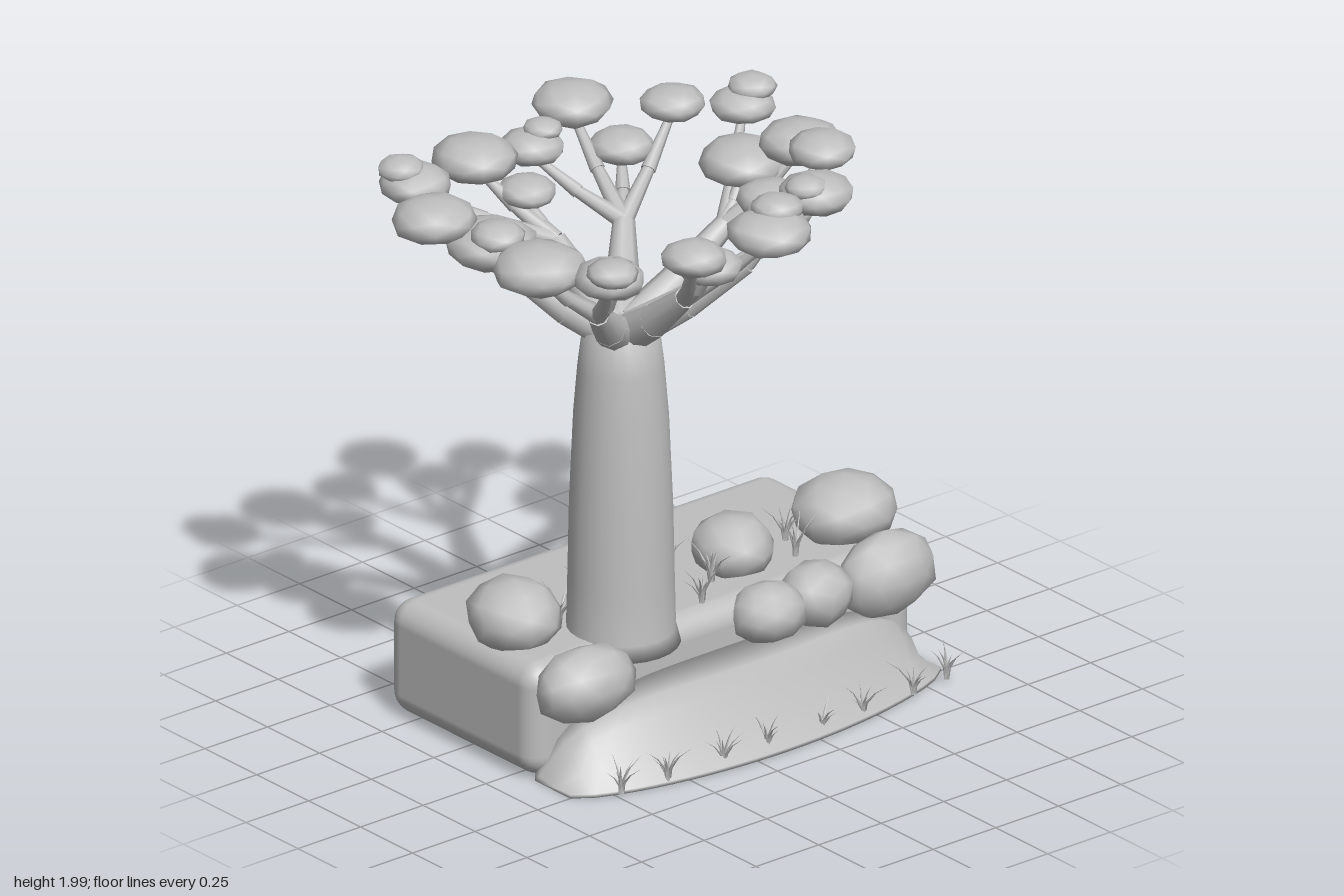
import * as THREE from 'three';
import { mergeVertices, mergeGeometries } from 'three/addons/utils/BufferGeometryUtils.js';
import { RoundedBoxGeometry } from 'three/addons/geometries/RoundedBoxGeometry.js';

const V = (x, y, z) => new THREE.Vector3(x, y, z);

export function createModel() {
  const group = new THREE.Group();
  const clay = new THREE.MeshStandardMaterial({ color: 0xbfbfbf });
  clay.name = 'grey clay';
  clay.side = THREE.DoubleSide;

  let seed = 7;
  const rand = () => (seed = (seed * 16807) % 2147483647) / 2147483647;
  const add = (name, geometry, x = 0, y = 0, z = 0) => {
    const mesh = new THREE.Mesh(geometry, clay);
    mesh.name = name;
    mesh.position.set(x, y, z);
    group.add(mesh);
    return mesh;
  };

  // Irregular smooth lump, used for stones and leaf clusters
  const lump = (name, x, y, z, rx, ry, rz, rough) => {
    let g = new THREE.IcosahedronGeometry(1, 1);
    g.deleteAttribute('normal');
    g.deleteAttribute('uv');
    g = mergeVertices(g, 1e-3);
    g.rotateY(rand() * 6);
    const p = g.attributes.position;
    for (let i = 0; i < p.count; i++) {
      const k = 1.03 + (rand() - 0.5) * rough;
      p.setXYZ(i, p.getX(i) * k * rx, p.getY(i) * k * ry, p.getZ(i) * k * rz);
    }
    g.computeVertexNormals();
    return add(name, g, x, y, z);
  };

  // Tapered limb running from a to b
  const limb = (name, a, b, ra, rb) => {
    const mesh = add(name, new THREE.CylinderGeometry(rb, ra, a.distanceTo(b), 8));
    mesh.position.copy(a).lerp(b, 0.5);
    mesh.quaternion.setFromUnitVectors(V(0, 1, 0), b.clone().sub(a).normalize());
  };

  // Tuft of bent blades
  const tuft = (x, y, z, size, count) => {
    const blades = [];
    for (let i = 0; i < count; i++) {
      const h = size * (0.6 + 0.5 * rand());
      const g = new THREE.ConeGeometry(0.009, h, 3, 3, true);
      g.translate(0, h / 2, 0);
      const p = g.attributes.position;
      const lean = 0.2 + 0.5 * rand();
      for (let j = 0; j < p.count; j++) {
        const t = p.getY(j) / h;
        p.setX(j, p.getX(j) + lean * h * t * t);
        p.setY(j, p.getY(j) - 0.12 * h * t * t);
      }
      g.rotateY((i / count) * Math.PI * 2 + rand());
      blades.push(g);
    }
    const merged = mergeGeometries(blades);
    merged.computeVertexNormals();
    add('grassTuft', merged, x, y, z);
  };

  // Base block
  add('baseBlock', new RoundedBoxGeometry(1.53, 0.38, 0.72, 4, 0.075), 0.115, 0.195, -0.25);

  // Bank in front: cross-sections lofted along x
  const pos = [], index = [], N = 24, K = 7;
  for (let i = 0; i <= N; i++) {
    const t = -1 + (2 * i) / N;
    const x = 0.12 + 0.74 * t;
    const h = 0.02 + 0.23 * Math.pow(Math.max(0, 1 - t ** 4), 0.6);
    const front = 0.25 + 0.16 * Math.pow(Math.max(0, 1 - t * t), 0.7);
    const section = [[0.08, 0], [0.08, h], [front - 0.15, h], [front - 0.11, h * 0.8],
      [front - 0.07, h * 0.4], [front, 0.012], [front, 0]];
    section.forEach(([z, y]) => pos.push(x, y, z));
  }
  for (let i = 0; i < N; i++) {
    for (let j = 0; j < K; j++) {
      const a = i * K + j, b = i * K + ((j + 1) % K);
      index.push(a, b, a + K, b, b + K, a + K);
    }
  }
  for (let j = 1; j < K - 1; j++) {
    index.push(0, j + 1, j, N * K, N * K + j, N * K + j + 1);
  }
  const bank = new THREE.BufferGeometry();
  bank.setAttribute('position', new THREE.Float32BufferAttribute(pos, 3));
  bank.setIndex(index);
  bank.computeVertexNormals();
  add('frontBank', bank);

  // Trunk
  const profile = [[0, 0.33], [0.185, 0.33], [0.17, 0.38], [0.166, 0.55], [0.161, 0.8], [0.148, 1.1],
    [0.135, 1.26], [0.12, 1.38], [0.07, 1.42], [0, 1.43]];
  add('trunk', new THREE.LatheGeometry(profile.map(([r, y]) => new THREE.Vector2(r, y)), 24), -0.21, 0, 0);

  // Branches: fork point, then leaf clusters [x, y, z, radius]
  const crown = [
    { fork: [0.22, 1.6, -0.02], leaves: [[0.33, 1.77, -0.06, 0.135], [0.44, 1.88, -0.2, 0.1],
      [0.48, 1.93, -0.2, 0.075], [0.43, 1.86, 0.09, 0.125]] },
    { fork: [0.09, 1.6, 0.24], leaves: [[0.16, 1.77, 0.31, 0.1], [0.36, 1.92, 0.28, 0.105],
      [0.26, 1.74, 0.15, 0.1]] },
    { fork: [-0.22, 1.6, 0.32], leaves: [[-0.37, 1.86, 0.545, 0.1], [-0.23, 1.76, 0.45, 0.1],
      [-0.085, 1.87, 0.565, 0.13], [-0.035, 1.93, 0.54, 0.08], [0.14, 1.92, 0.515, 0.115],
      [0.09, 1.96, 0.53, 0.065]] },
    { fork: [-0.45, 1.56, 0.18], leaves: [[-0.69, 1.79, 0.185, 0.145], [-0.585, 1.8, 0.4, 0.11],
      [-0.61, 1.84, 0.44, 0.08], [-0.48, 1.72, 0.3, 0.085]] },
    { fork: [-0.48, 1.58, -0.18], leaves: [[-0.79, 1.85, -0.2, 0.13], [-0.67, 1.78, -0.07, 0.14],
      [-0.69, 1.83, -0.015, 0.085], [-0.6, 1.72, -0.3, 0.07]] },
    { fork: [-0.25, 1.6, -0.27], leaves: [[-0.39, 1.84, -0.485, 0.13], [-0.27, 1.73, -0.38, 0.09],
      [-0.635, 1.83, -0.475, 0.11], [-0.67, 1.88, -0.505, 0.072]] },
    { fork: [0.0, 1.6, -0.24], leaves: [[0.06, 1.87, -0.565, 0.125], [-0.145, 1.8, -0.505, 0.1],
      [-0.105, 1.85, -0.505, 0.06], [0.31, 1.86, -0.38, 0.1], [0.14, 1.75, -0.42, 0.1]] },
  ];
  for (const { fork, leaves } of crown) {
    const f = V(...fork);
    const out = V(f.x + 0.21, 0, f.z).normalize();
    const root = V(-0.21, 1.38, 0).addScaledVector(out, 0.04);
    const knee = root.clone().lerp(f, 0.45).add(V(0, -0.012, 0));
    limb('branch', root, knee, 0.062, 0.054);
    limb('branch', knee, f, 0.054, 0.035);
    for (const [x, y, z, r] of leaves) {
      lump('leafCluster', x, y, z, r, r * 0.52, r, 0.1);
      if (r < 0.084) continue;
      const tip = V(x, y - 0.03, z);
      const mid = f.clone().lerp(tip, 0.5).add(V(0, -0.012, 0));
      limb('twig', f, mid, 0.03, 0.02);
      limb('twig', mid, tip, 0.024, 0.012);
    }
  }

  // Stones: centre and half sizes
  [
    [-0.52, 0.455, -0.14, 0.145, 0.115, 0.15], [-0.485, 0.32, 0.16, 0.18, 0.115, 0.11],
    [0.335, 0.445, -0.12, 0.13, 0.1, 0.13], [0.27, 0.33, 0.13, 0.125, 0.095, 0.11],
    [0.46, 0.335, 0.13, 0.12, 0.1, 0.11], [0.74, 0.325, 0.13, 0.175, 0.135, 0.11],
    [0.765, 0.455, -0.1, 0.17, 0.112, 0.155],
  ].forEach((s) => lump('stone', ...s, 0.1));

  // Grass along the bank and on the block
  [-0.49, -0.32, -0.11, 0.06, 0.28, 0.45, 0.67, 0.82].forEach((x) => {
    tuft(x, 0.01, 0.38 - 0.06 * ((x - 0.12) / 0.74) ** 2, 0.13, 7);
  });
  [[0.13, -0.2], [0.02, -0.15], [0.08, 0.04], [0.2, -0.06], [-0.17, -0.22],
    [0.52, -0.04], [0.57, -0.15], [-0.36, -0.12]].forEach(([x, z]) => tuft(x, 0.375, z, 0.15, 9));

  return group;
}
